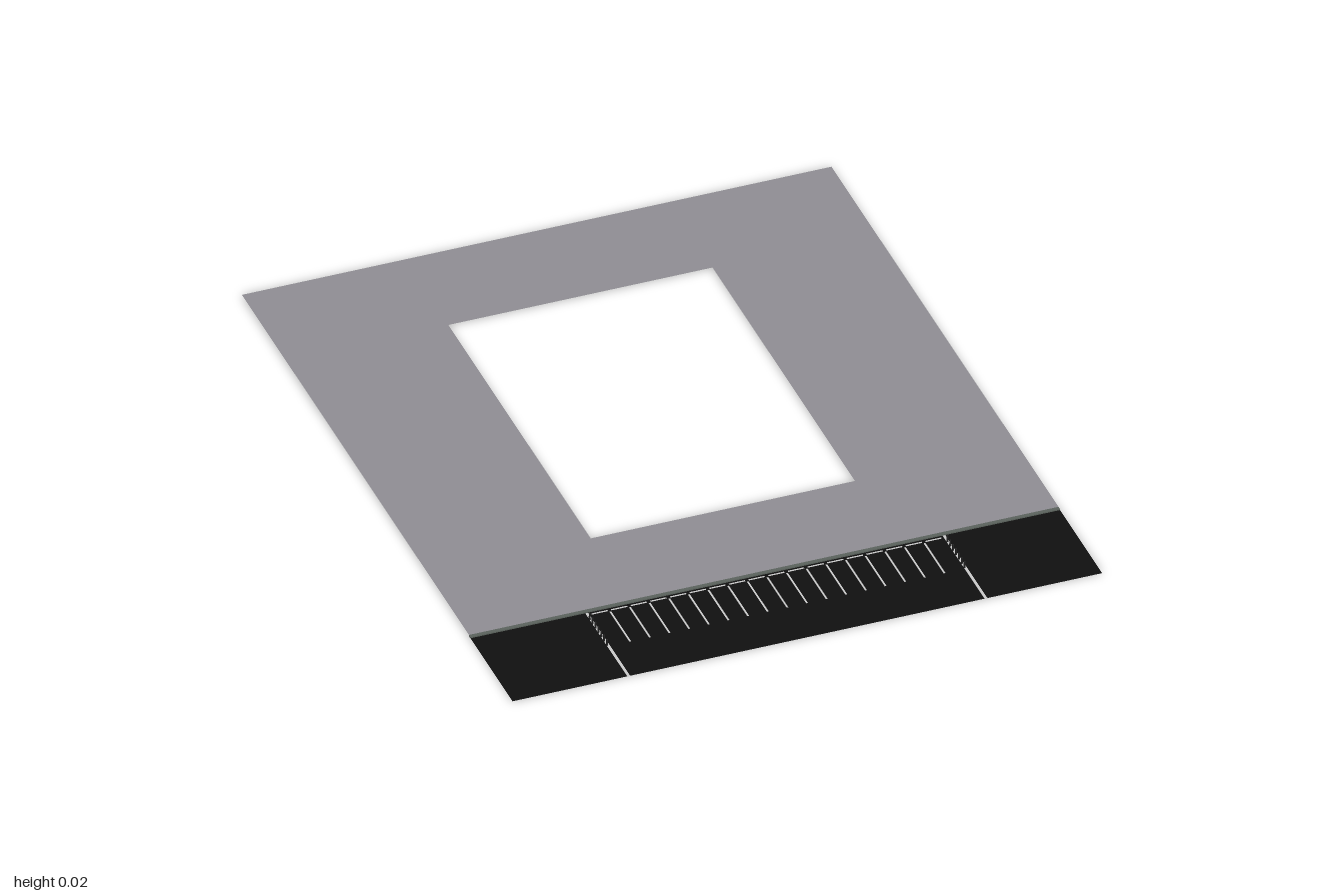
import * as THREE from 'three';

const material = (color) => new THREE.MeshStandardMaterial({ color, side: THREE.DoubleSide });

export function createModel() {
  const model = new THREE.Group();
  const paving = material(0x918f95);
  const asphalt = material(0x101010);
  const paint = material(0xe8e8e8);
  const kerbStone = material(0x5c645e);
  const postMetal = material(0x222222);

  const W = 0.83;        // half width of the plot
  const KERB = 0.685;    // line where pavement meets road
  const TOP = 0.004;     // pavement height

  // Box given by its x, y and z ranges
  function block(name, mat, [x0, x1], [y0, y1], [z0, z1], parent = model) {
    const mesh = new THREE.Mesh(new THREE.BoxGeometry(x1 - x0, y1 - y0, z1 - z0), mat);
    mesh.position.set((x0 + x1) / 2, (y0 + y1) / 2, (z0 + z1) / 2);
    mesh.name = name;
    parent.add(mesh);
  }

  // Flat pavement with an open rectangular plot; shape y becomes -z
  const rect = (Type, x, z0, z1) => new Type([
    new THREE.Vector2(-x, -z1), new THREE.Vector2(x, -z1),
    new THREE.Vector2(x, -z0), new THREE.Vector2(-x, -z0),
  ]);
  const outline = rect(THREE.Shape, W, -1, KERB - 0.007);
  outline.holes.push(rect(THREE.Path, 0.372, -0.677, 0.376));
  const pavement = new THREE.Mesh(new THREE.ShapeGeometry(outline).rotateX(-Math.PI / 2), paving);
  pavement.position.y = TOP;
  pavement.name = 'pavement';
  model.add(pavement);

  // Road sheet and kerb
  const road = new THREE.Mesh(new THREE.PlaneGeometry(2 * W, 1 - KERB).rotateX(-Math.PI / 2), asphalt);
  road.position.set(0, 0.0005, (1 + KERB) / 2);
  road.name = 'road';
  model.add(road);
  block('kerb', kerbStone, [-W, W], [0, TOP], [KERB - 0.007, KERB + 0.004]);

  // Painted markings show on both faces of the road sheet
  const markings = new THREE.Group();
  markings.name = 'roadMarkings';
  model.add(markings);
  const stripe = (name, xs, zs) => block(name, paint, xs, [0, 0.001], zs, markings);

  for (const x of [-0.503, 0.503]) stripe('edgeLine', [x - 0.004, x + 0.004], [0.69, 1]);

  const bays = 18, pitch = 0.0553;
  for (let i = 0; i < bays; i++) {
    const x = (i - bays / 2) * pitch;
    if (i > 0) stripe('bayDivider', [x - 0.0025, x + 0.0025], [0.705, 0.853]);
    stripe('bayEndDash', [x + 0.005, x + pitch - 0.005], [0.696, 0.701]);
  }

  // Rows of short posts at both ends of the bays
  const posts = new THREE.Group();
  posts.name = 'posts';
  model.add(posts);
  for (const x of [-0.506, 0.501]) {
    for (let i = 0; i < 7; i++) {
      const post = new THREE.Mesh(new THREE.CylinderGeometry(0.0025, 0.003, 0.02, 8), postMetal);
      post.position.set(x, 0.01, 0.72 + i * 0.0213);
      post.name = 'post';
      posts.add(post);
    }
  }

  return model;
}
